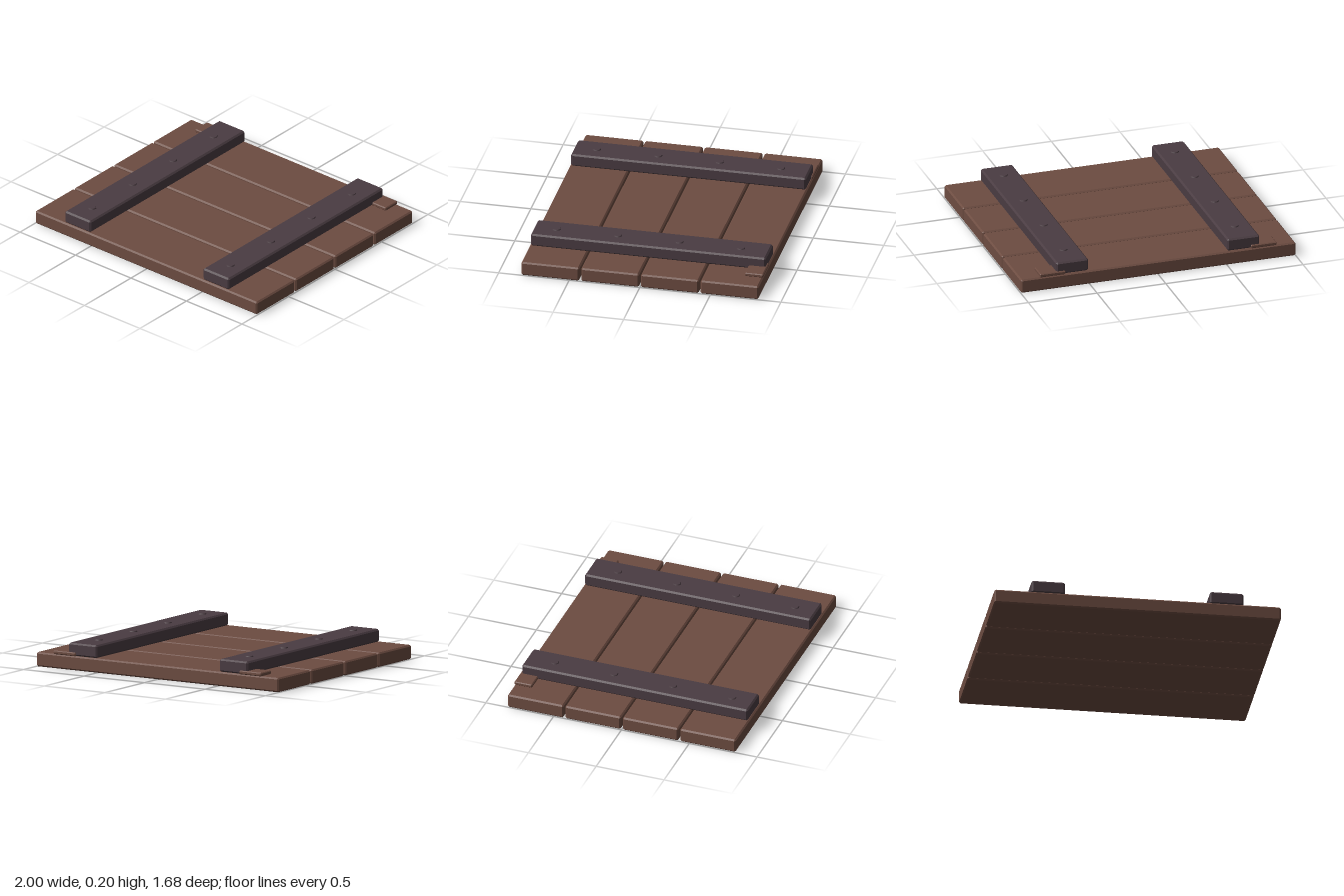
import * as THREE from 'three';
import { ConvexGeometry } from 'three/addons/geometries/ConvexGeometry.js';

// Box with flat chamfers of size c on every edge
function chamferBox(w, h, d, c) {
  const half = [w / 2, h / 2, d / 2];
  const points = [];
  for (const sx of [-1, 1]) for (const sy of [-1, 1]) for (const sz of [-1, 1]) {
    for (let axis = 0; axis < 3; axis++) {
      const p = half.map((v, i) => (i === axis ? v : v - c));
      points.push(new THREE.Vector3(sx * p[0], sy * p[1], sz * p[2]));
    }
  }
  return new ConvexGeometry(points);
}

export function createModel() {
  const model = new THREE.Group();
  model.name = 'woodenHatch';

  const plankWood = new THREE.MeshStandardMaterial({ color: 0x6d4c41 });
  plankWood.name = 'brown plank wood';
  const battenWood = new THREE.MeshStandardMaterial({ color: 0x4a3c42 });
  battenWood.name = 'dark batten wood';

  const add = (name, geometry, material, x, y, z) => {
    const mesh = new THREE.Mesh(geometry, material);
    mesh.name = name;
    mesh.position.set(x, y, z);
    model.add(mesh);
  };

  // Four planks side by side with narrow gaps
  const plank = chamferBox(2, 0.1, 0.41, 0.01);
  const pitch = 0.4233;
  for (let i = 0; i < 4; i++) add('plank', plank, plankWood, 0, 0.05, (i - 1.5) * pitch);

  const batten = chamferBox(0.234, 0.09, 1.664, 0.011);
  const plate = chamferBox(0.185, 0.026, 0.13, 0.006);
  const nail = new THREE.CylinderGeometry(0.026, 0.032, 0.012, 12);

  for (const side of [-1, 1]) {
    // Cross batten, and the small plate tucked under its back end
    add('batten', batten, battenWood, side * 0.623, 0.144, 0);
    add('hingePlate', plate, plankWood, side * 0.768, 0.112, -0.777);

    // One nail head over each plank
    for (let i = 0; i < 4; i++) add('nailHead', nail, battenWood, side * 0.623, 0.19, 0.675 - i * 0.435);
  }

  return model;
}
